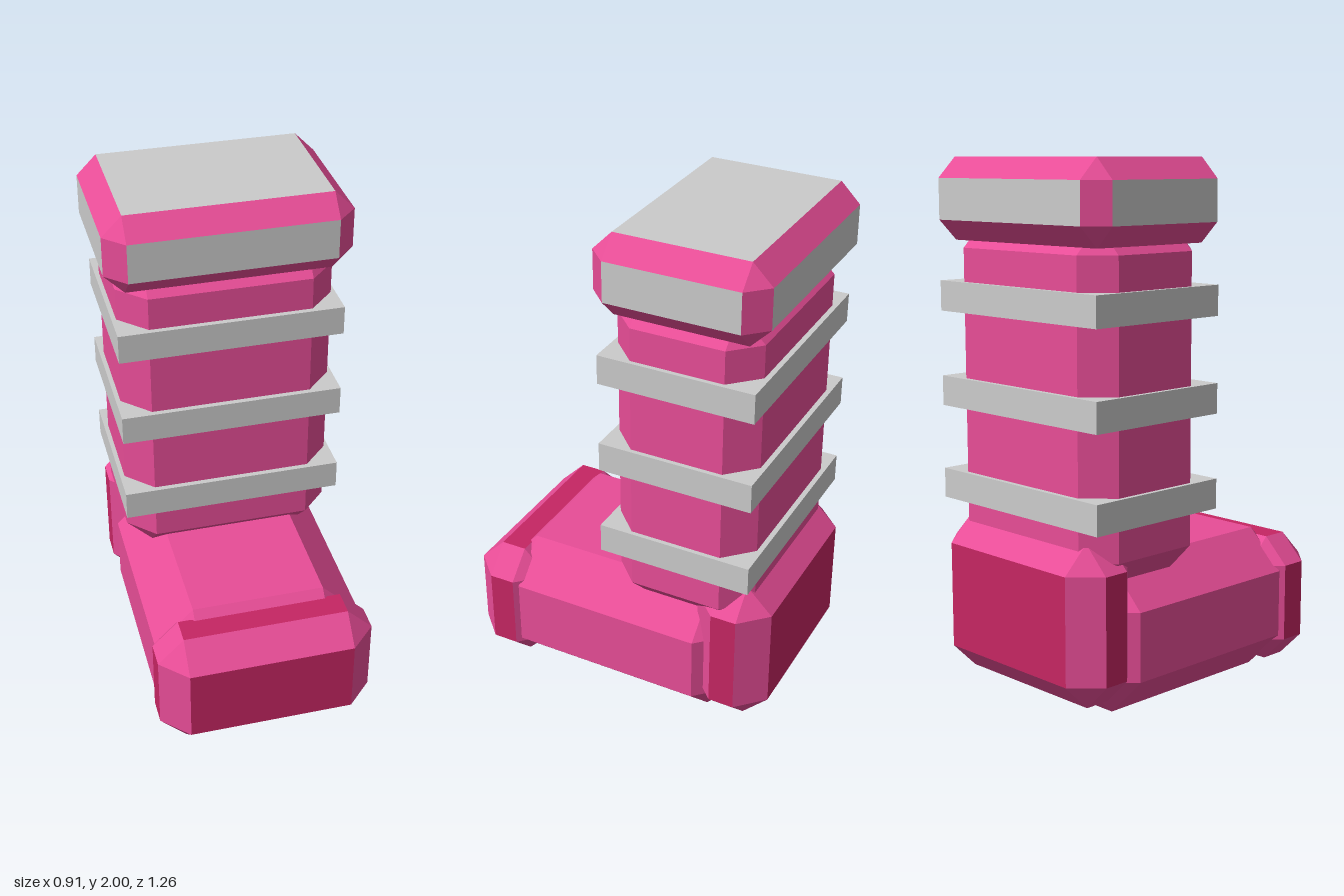
import * as THREE from 'three';

const pink = new THREE.MeshStandardMaterial({ color: 0xe84d97, flatShading: true });
const crimson = new THREE.MeshStandardMaterial({ color: 0xc62663, flatShading: true });
const grey = new THREE.MeshStandardMaterial({ color: 0xcccccc, flatShading: true });

// Builds a geometry from convex polygons around the origin, wound outwards
function fromPolygons(polygons) {
  const positions = [];
  for (const poly of polygons) {
    const [a, b, c] = poly;
    const normal = b.clone().sub(a).cross(c.clone().sub(a));
    const ring = normal.dot(a) < 0 ? [...poly].reverse() : poly;
    for (let i = 1; i < ring.length - 1; i++) {
      for (const p of [ring[0], ring[i], ring[i + 1]]) positions.push(p.x, p.y, p.z);
    }
  }
  const geometry = new THREE.BufferGeometry();
  geometry.setAttribute('position', new THREE.Float32BufferAttribute(positions, 3));
  geometry.computeVertexNormals();
  return geometry;
}

// Box with 45 degree chamfers; the six flat panels may differ in colour from the bevels
function chamferedBox(name, min, max, chamfer, panelMaterial) {
  const half = min.map((v, i) => (max[i] - v) / 2);
  // Corner point lying on the panel of the given axis
  const point = (axis, signs) => new THREE.Vector3(
    ...signs.map((s, i) => s * (half[i] - (i === axis ? 0 : chamfer))));
  const panels = [], bevels = [];
  const signs = [-1, 1];

  for (let axis = 0; axis < 3; axis++) {
    const u = (axis + 1) % 3, v = (axis + 2) % 3;
    const corner = (a, b, c) => {
      const s = [0, 0, 0];
      s[axis] = a; s[u] = b; s[v] = c;
      return s;
    };
    for (const a of signs) {
      panels.push([[-1, -1], [1, -1], [1, 1], [-1, 1]].map(([b, c]) => point(axis, corner(a, b, c))));
      // Edge bevels between this panel and the two beside it
      for (const b of signs) {
        const s0 = corner(a, b, -1), s1 = corner(a, b, 1);
        bevels.push([point(axis, s0), point(axis, s1), point(u, s1), point(u, s0)]);
      }
    }
  }
  // Corner triangles
  for (const x of signs) for (const y of signs) for (const z of signs) {
    bevels.push([0, 1, 2].map(axis => point(axis, [x, y, z])));
  }

  const group = new THREE.Group();
  group.name = name;
  const panelMesh = new THREE.Mesh(fromPolygons(panels), panelMaterial);
  panelMesh.name = name + 'Panels';
  const bevelMesh = new THREE.Mesh(fromPolygons(bevels), pink);
  bevelMesh.name = name + 'Bevels';
  group.add(panelMesh, bevelMesh);
  group.position.set(...min.map((v, i) => (v + max[i]) / 2));
  return group;
}

export function createModel() {
  const boot = new THREE.Group();
  boot.name = 'boot';

  boot.add(
    chamferedBox('foot', [-0.405, 0, -0.5], [0.405, 0.56, 0.56], 0.15, pink),
    chamferedBox('toeCap', [-0.418, 0.03, 0.33], [0.418, 0.53, 0.63], 0.1, crimson),
    chamferedBox('heelCap', [-0.418, 0.08, -0.63], [0.418, 0.68, -0.33], 0.1, crimson),
    chamferedBox('shaft', [-0.405, 0.51, -0.555], [0.405, 1.775, 0], 0.1, pink),
    chamferedBox('cuff', [-0.455, 1.7, -0.605], [0.455, 2, 0.05], 0.075, grey),
  );

  // Bands around the shaft
  for (const y of [0.787, 1.14, 1.495]) {
    const band = new THREE.Mesh(new THREE.BoxGeometry(0.844, 0.112, 0.595), grey);
    band.name = 'band';
    band.position.set(0, y, -0.277);
    boot.add(band);
  }
  return boot;
}
